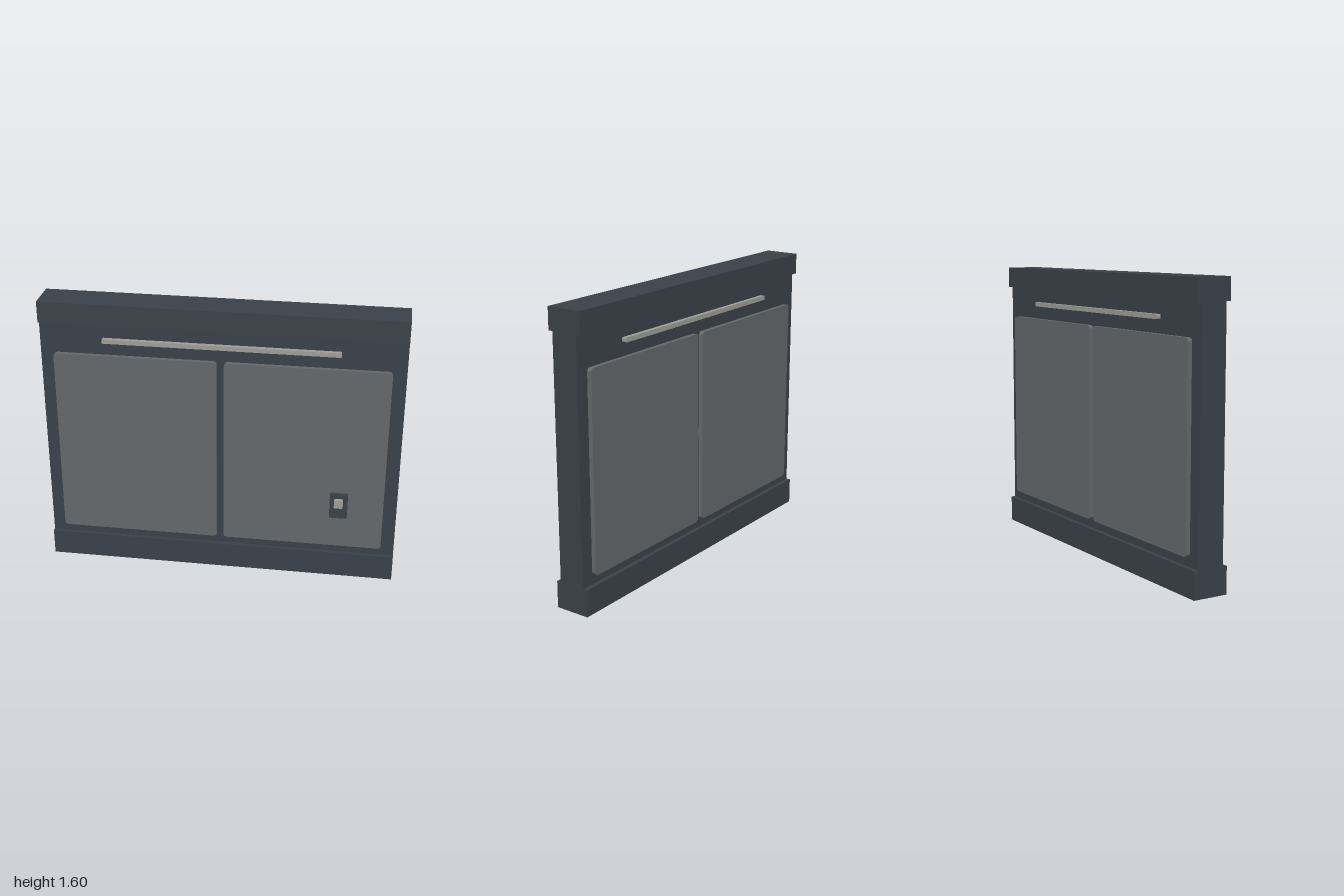
import * as THREE from 'three';

const material = (name, color) => {
  const m = new THREE.MeshStandardMaterial({ color });
  m.name = name;
  return m;
};

export function createModel() {
  const frame = material('dark frame', 0x394048);
  const panel = material('grey panel', 0x626769);
  const metal = material('pale metal', 0x9c9b94);
  const model = new THREE.Group();
  model.name = 'wallPanel';

  // Box given by its bounds
  function box(name, mat, x0, x1, y0, y1, z0, z1) {
    const mesh = new THREE.Mesh(new THREE.BoxGeometry(x1 - x0, y1 - y0, z1 - z0), mat);
    mesh.position.set((x0 + x1) / 2, (y0 + y1) / 2, (z0 + z1) / 2);
    mesh.name = name;
    model.add(mesh);
  }

  // Plate with rounded outline, extruded between two depths
  function plate(name, mat, x0, x1, y0, y1, z0, z1, r) {
    const s = new THREE.Shape();
    s.moveTo(x0 + r, y0);
    s.absarc(x1 - r, y0 + r, r, -Math.PI / 2, 0);
    s.absarc(x1 - r, y1 - r, r, 0, Math.PI / 2);
    s.absarc(x0 + r, y1 - r, r, Math.PI / 2, Math.PI);
    s.absarc(x0 + r, y0 + r, r, Math.PI, Math.PI * 1.5);
    const geo = new THREE.ExtrudeGeometry(s, { depth: z1 - z0, bevelEnabled: false, curveSegments: 4 });
    const mesh = new THREE.Mesh(geo, mat);
    mesh.position.z = z0;
    mesh.name = name;
    model.add(mesh);
  }

  // Core wall with thicker rails at foot and head
  box('core', frame, -1, 1, 0.15, 1.48, -0.1, 0.05);
  box('bottomRail', frame, -1, 1, 0, 0.15, -0.125, 0.075);
  box('topRail', frame, -1, 1, 1.48, 1.6, -0.125, 0.075);

  // Raised panels and trim bar on both faces
  for (const [side, z0, z1] of [['front', 0.05, 0.075], ['back', -0.125, -0.1]]) {
    plate(side + 'RightPanel', panel, -0.925, -0.02, 0.203, 1.303, z0, z1, 0.02);
    plate(side + 'LeftPanel', panel, 0.02, 0.925, 0.203, 1.303, z0, z1, 0.02);
    plate(side + 'TrimBar', metal, -0.65, 0.65, 1.377, 1.402, z0, z1, 0.006);
  }

  // Switch on the front
  plate('switchPlate', frame, 0.625, 0.725, 0.402, 0.552, 0.075, 0.1, 0.006);
  plate('switchButton', metal, 0.65, 0.7, 0.48, 0.528, 0.1, 0.125, 0.006);

  return model;
}
